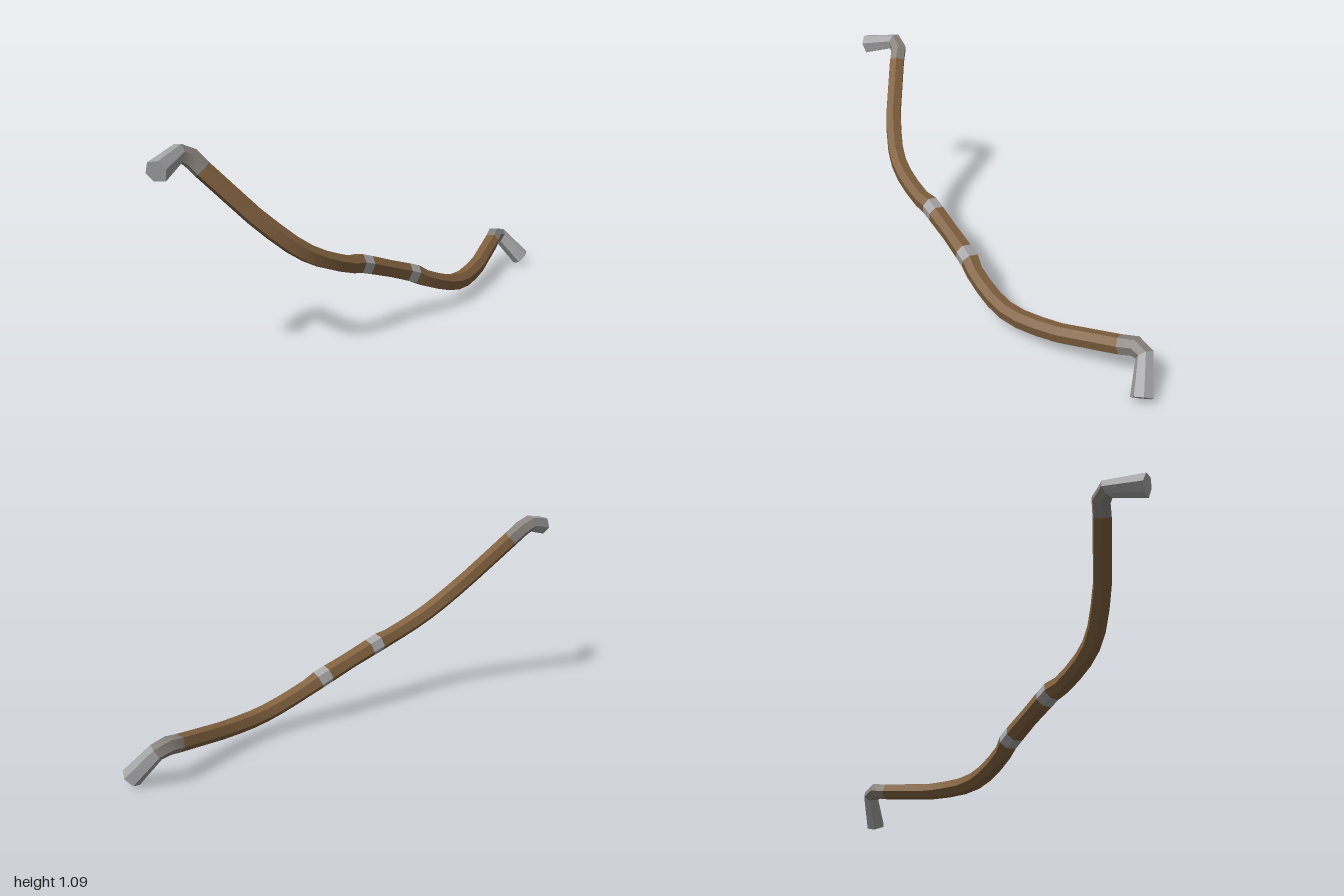
import * as THREE from 'three';
import { toCreasedNormals } from 'three/addons/utils/BufferGeometryUtils.js';

const wood = new THREE.MeshStandardMaterial({ color: 0x80603e });
wood.name = 'brown wood';
const metal = new THREE.MeshStandardMaterial({ color: 0xa4a4a6 });
metal.name = 'silver metal';
const wornMetal = new THREE.MeshStandardMaterial({ color: 0x88827c });
wornMetal.name = 'worn grey metal';

// Six-sided section: [depth towards the back ridge, sideways]
const section = [[0.05, 0], [0.018, 0.042], [-0.025, 0.042], [-0.05, 0], [-0.025, -0.042], [0.018, -0.042]];

// Half of the bow: [distance along the chord, depth, scale], grip to tip
const half = [
  [0.145, 0.28, 1.08], [0.215, 0.282, 1.1], [0.285, 0.298, 1], [0.38, 0.302, 1],
  [0.48, 0.298, 1], [0.57, 0.282, 1], [0.66, 0.248, 1], [0.76, 0.192, 1],
  [0.86, 0.127, 0.98], [1.11, -0.075, 0.98], [1.167, -0.128, 1], [1.228, -0.137, 0.95], [1.372, 0, 1.15],
];
const stations = [
  ...half.map(([s, d, k]) => [-s, d, k]).reverse(),
  [0, 0.279, 1.02],
  ...half,
];

// Cross-section loop at station i, square to the path
function ring(i) {
  const [s, d, k] = stations[i];
  const dir = (a, b) => new THREE.Vector2(b[0] - a[0], b[1] - a[1]).normalize();
  const here = stations[i];
  const t = new THREE.Vector2();
  if (i > 0) t.add(dir(stations[i - 1], here));
  if (i < stations.length - 1) t.add(dir(here, stations[i + 1]));
  t.normalize();
  return section.map(([n, w]) => [s - t.y * n * k, d + t.x * n * k, w * k]);
}

// Skin the rings from station a to station b, closing the bow's two ends
function sweep(name, a, b, material) {
  const pos = [], index = [], n = section.length;
  for (let i = a; i <= b; i++) ring(i).forEach((p) => pos.push(...p));
  for (let i = 0; i < b - a; i++) {
    for (let j = 0; j < n; j++) {
      const p = i * n + j, q = i * n + (j + 1) % n;
      index.push(p, q, q + n, p, q + n, p + n);
    }
  }
  const end = (b - a) * n;
  for (let j = 1; j < n - 1; j++) {
    if (a === 0) index.push(0, j + 1, j);
    if (b === stations.length - 1) index.push(end, end + j, end + j + 1);
  }
  const geo = new THREE.BufferGeometry();
  geo.setAttribute('position', new THREE.Float32BufferAttribute(pos, 3));
  geo.setIndex(index);
  const mesh = new THREE.Mesh(toCreasedNormals(geo, 0.6), material);
  mesh.name = name;
  return mesh;
}

export function createModel() {
  const bow = new THREE.Group();
  bow.name = 'bow';
  const last = stations.length - 1, mid = half.length;

  // Grip between the two bands
  bow.add(sweep('grip', mid - 1, mid + 1, wood));

  // Mirrored pieces: [name, first and last index within the half, material]
  const pieces = [
    ['Band', 0, 1, metal],
    ['Limb', 1, 9, wood],
    ['Bend', 9, 11, wornMetal],
    ['Tip', 11, 12, metal],
  ];
  for (const [name, a, b, material] of pieces) {
    bow.add(sweep('lower' + name, mid + 1 + a, mid + 1 + b, material));
    bow.add(sweep('upper' + name, last - (mid + 1 + b), last - (mid + 1 + a), material));
  }

  // Tilt the bow into its resting pose
  const along = new THREE.Vector3(0.6195, -0.3517, -0.7015).normalize();
  const depth = new THREE.Vector3(0.333, -0.691, 0.641);
  const side = new THREE.Vector3().crossVectors(along, depth).normalize();
  depth.crossVectors(side, along);
  bow.quaternion.setFromRotationMatrix(new THREE.Matrix4().makeBasis(along, depth, side));
  bow.position.set(0.005, 0.5175, 0.0175);

  const model = new THREE.Group();
  model.name = 'model';
  model.add(bow);
  return model;
}
